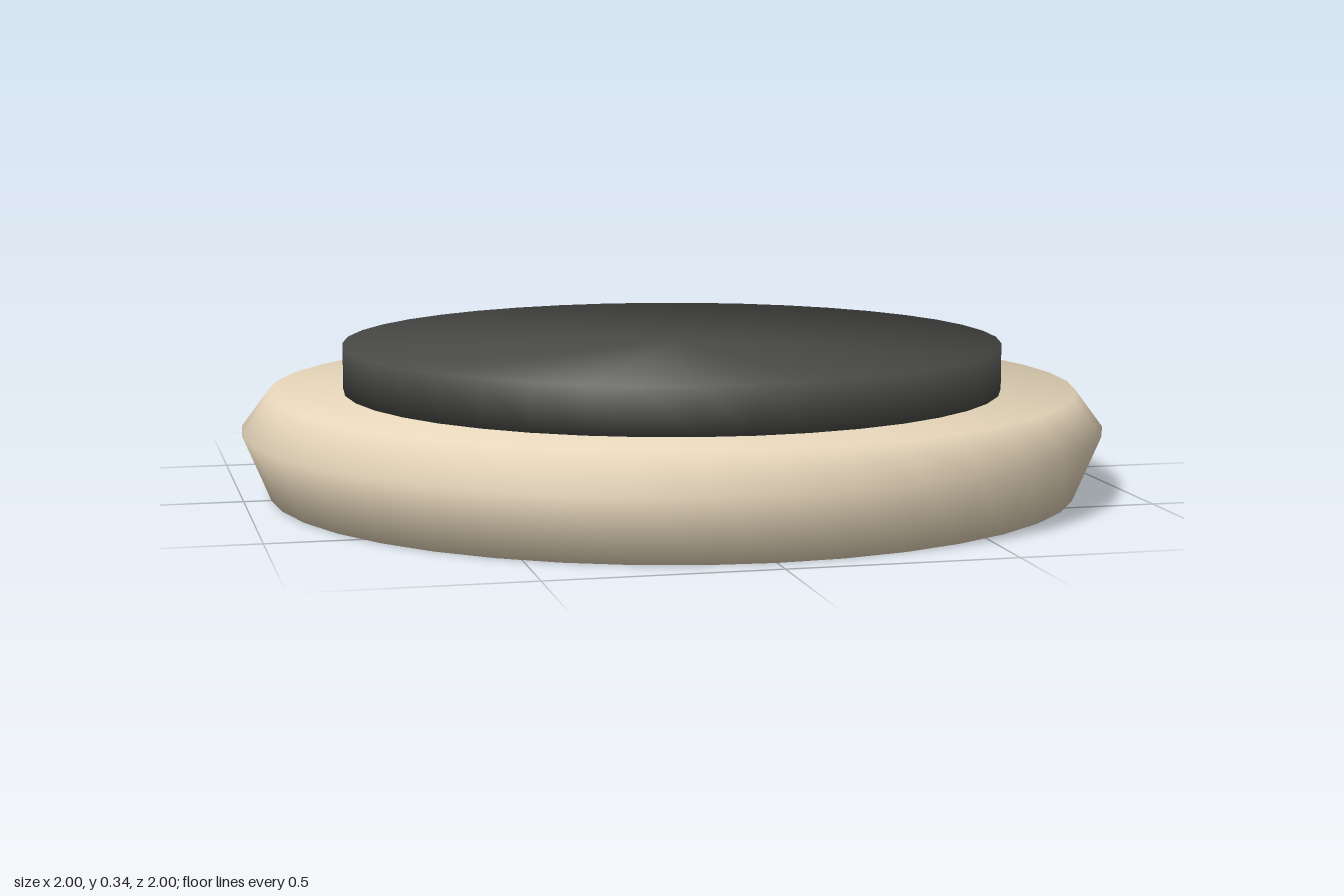
import * as THREE from 'three';

const SIDES = 40;

// Closed turned solid; normals are softened evenly across every profile corner
function turned(name, profile, color) {
  const points = profile.map(([r, y]) => new THREE.Vector2(r, y));
  const geometry = new THREE.LatheGeometry(points, SIDES);

  // Outward unit normal of each profile segment
  const segments = points.slice(1).map((p, i) =>
    new THREE.Vector2(p.y - points[i].y, points[i].x - p.x).normalize());
  const normals = geometry.attributes.normal;
  for (let i = 0; i <= SIDES; i++) {
    const angle = (i / SIDES) * Math.PI * 2;
    points.forEach((_, j) => {
      const before = segments[Math.max(j - 1, 0)];
      const after = segments[Math.min(j, segments.length - 1)];
      const n = before.clone().add(after).normalize();
      normals.setXYZ(i * points.length + j, n.x * Math.sin(angle), n.y, n.x * Math.cos(angle));
    });
  }

  const mesh = new THREE.Mesh(geometry, new THREE.MeshStandardMaterial({ color }));
  mesh.name = name;
  return mesh;
}

export function createModel() {
  const group = new THREE.Group();
  group.name = 'roundButton';

  // Wide base with a bevelled rim, widest above its middle
  group.add(turned('base', [[0, 0], [0.937, 0], [1, 0.15], [0.937, 0.235], [0, 0.235]], 0xe6d6ba));

  // Dark raised disc resting on the base
  group.add(turned('topDisc', [[0, 0.235], [0.765, 0.235], [0.765, 0.342], [0, 0.342]], 0x4a4a48));

  return group;
}
